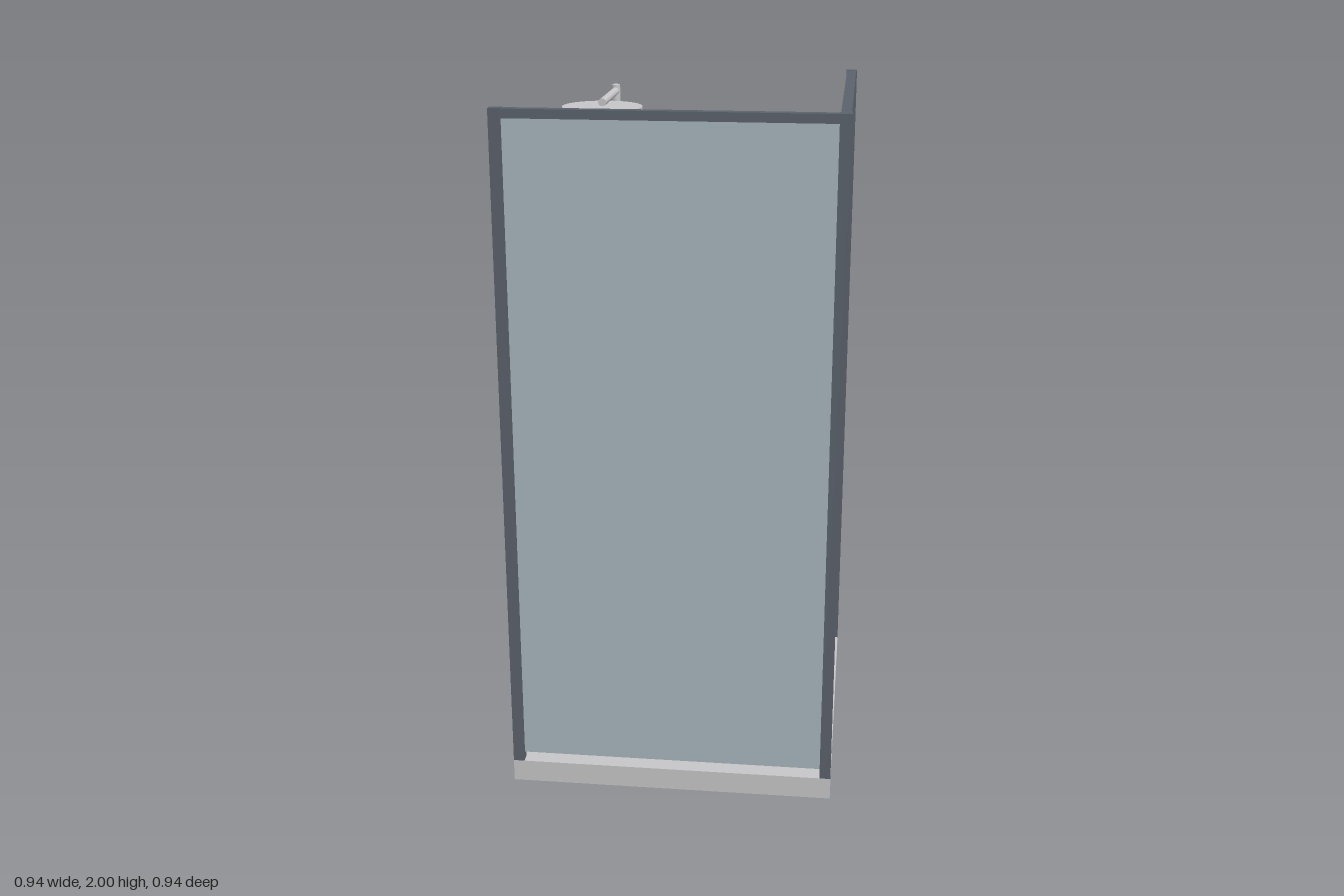
import * as THREE from 'three';

export function createModel() {
  const group = new THREE.Group();
  group.name = 'showerEnclosure';

  const material = (name, color) => {
    const m = new THREE.MeshStandardMaterial({ color });
    m.name = name;
    return m;
  };
  const lightGrey = material('light grey', 0xc8c8ca);
  const frameGrey = material('dark slate frame', 0x5c636d);
  const glass = material('blue grey glass', 0xa9b8bf);

  const add = (name, geometry, mat, x, y, z) => {
    const mesh = new THREE.Mesh(geometry, mat);
    mesh.name = name;
    mesh.position.set(x, y, z);
    group.add(mesh);
    return mesh;
  };
  // Box given by its lower and upper corners
  const box = (name, mat, [x0, y0, z0], [x1, y1, z1]) =>
    add(name, new THREE.BoxGeometry(x1 - x0, y1 - y0, z1 - z0), mat,
      (x0 + x1) / 2, (y0 + y1) / 2, (z0 + z1) / 2);
  const cylinder = (name, r, h, x, y, z, segments = 32) =>
    add(name, new THREE.CylinderGeometry(r, r, h, segments), lightGrey, x, y, z);

  // Tray and drain cover
  const half = 0.472, trayTop = 0.066;
  box('tray', lightGrey, [-half, 0, -half], [half, trayTop, half]);
  cylinder('drainCover', 0.049, 0.01, 0.163, trayTop + 0.005, 0.163, 40);

  // Corner posts
  const mid = 0.456, postHalf = 0.016;
  const posts = { frontRightPost: [-1, 1], frontLeftPost: [1, 1], backLeftPost: [1, -1] };
  for (const [name, [sx, sz]] of Object.entries(posts)) {
    box(name, frameGrey,
      [sx * mid - postHalf, trayTop, sz * mid - postHalf],
      [sx * mid + postHalf, 2, sz * mid + postHalf]);
  }

  // Top rails
  const railHalf = 0.014, railBottom = 1.974, inner = mid - postHalf;
  box('frontTopRail', frameGrey, [-inner, railBottom, mid - railHalf], [inner, 1.999, mid + railHalf]);
  box('sideTopRail', frameGrey, [mid - railHalf, railBottom, -inner], [mid + railHalf, 1.999, inner]);

  // Glass panels, the side one leaving the entrance open
  const paneHalf = 0.004, paneBottom = 0.09;
  box('frontGlass', glass, [-inner, paneBottom, mid - paneHalf], [inner, railBottom, mid + paneHalf]);
  box('sideGlass', glass, [mid - paneHalf, paneBottom, -0.186], [mid + paneHalf, railBottom, inner]);

  // Riser pipe, overhead arm, rain head and mixer
  const showerX = -0.276, riserZ = -0.43, headZ = -0.166;
  cylinder('riserPipe', 0.014, 1.01, showerX, 1.445, riserZ, 24);
  const arm = cylinder('showerArm', 0.012, headZ - riserZ, showerX, 1.93, (riserZ + headZ) / 2, 24);
  arm.rotation.x = Math.PI / 2;
  cylinder('rainHead', 0.12, 0.022, showerX, 1.908, headZ, 64);
  box('mixerValve', lightGrey, [-0.374, 1.076, -0.458], [-0.177, 1.129, -0.405]);

  return group;
}
